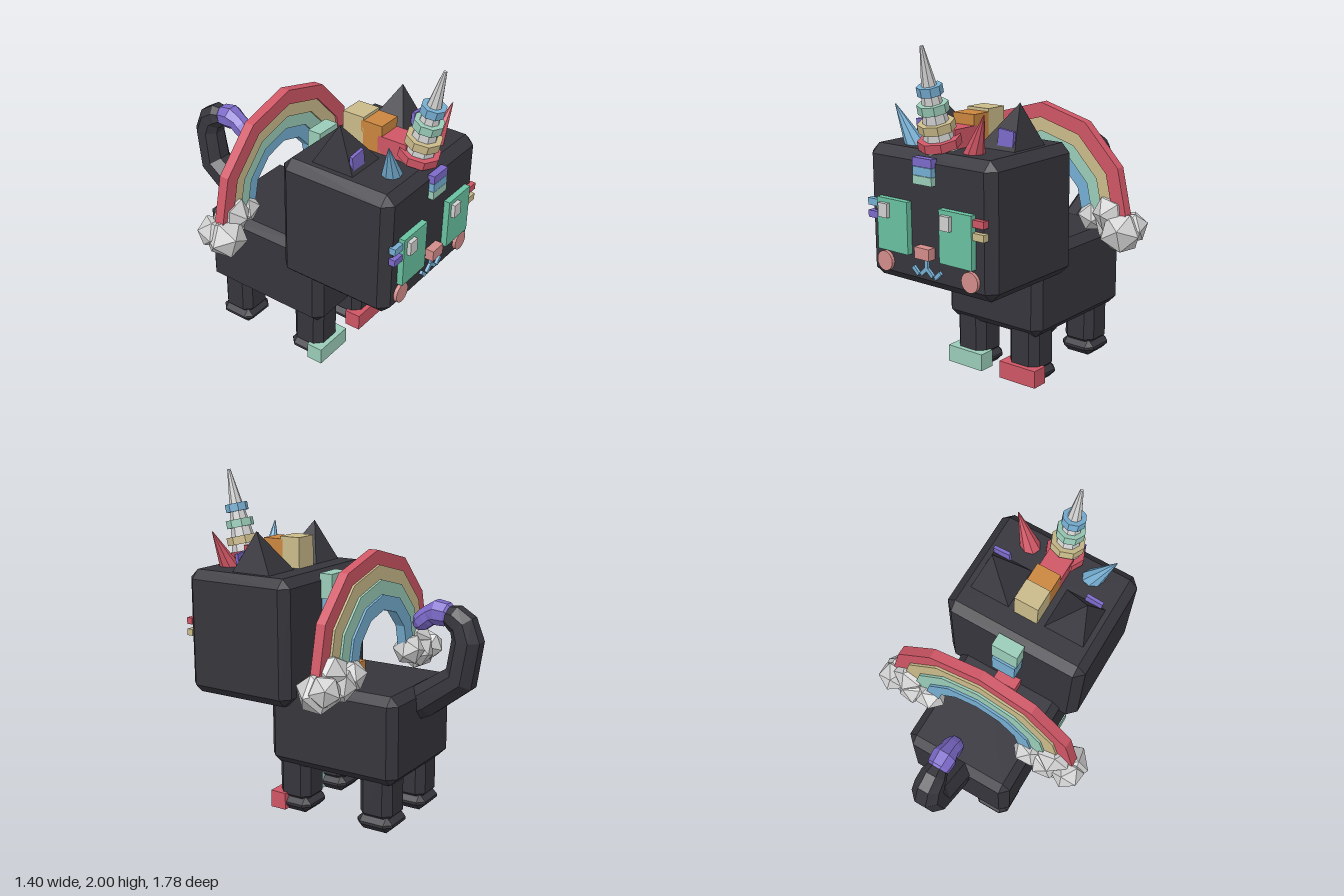
import * as THREE from 'three';
import { ConvexGeometry } from 'three/addons/geometries/ConvexGeometry.js';

const V = (x, y, z) => new THREE.Vector3(x, y, z);
const colours = {
  charcoal: 0x36353c, red: 0xcf5665, blue: 0x76aed2, mint: 0x9accb8, eyeGreen: 0x69c1a1,
  sand: 0xcaba8a, orange: 0xca853e, violet: 0x7d6aca, cloudWhite: 0xd0d0d0, pink: 0xd28c8a,
};

export function createModel() {
  const root = new THREE.Group();
  root.name = 'rainbowCat';
  const mats = {};
  for (const [name, hex] of Object.entries(colours)) {
    mats[name] = new THREE.MeshStandardMaterial({ color: hex });
    mats[name].name = name;
  }

  // Every part is faceted, so each face gets its own normal
  const add = (name, geo, colour, x = 0, y = 0, z = 0) => {
    const flat = geo.index ? geo.toNonIndexed() : geo;
    flat.computeVertexNormals();
    const mesh = new THREE.Mesh(flat, mats[colour]);
    mesh.name = name;
    mesh.position.set(x, y, z);
    root.add(mesh);
    return mesh;
  };

  // Boxes given by their limits on each axis
  const box = (name, colour, x0, x1, y0, y1, z0, z1) =>
    add(name, new THREE.BoxGeometry(x1 - x0, y1 - y0, z1 - z0), colour,
      (x0 + x1) / 2, (y0 + y1) / 2, (z0 + z1) / 2);

  const chamferBox = (name, x0, x1, y0, y1, z0, z1, c) => {
    const hx = (x1 - x0) / 2, hy = (y1 - y0) / 2, hz = (z1 - z0) / 2, pts = [];
    for (const i of [-1, 1]) for (const j of [-1, 1]) for (const k of [-1, 1]) {
      pts.push(V(i * hx, j * (hy - c), k * (hz - c)));
      pts.push(V(i * (hx - c), j * hy, k * (hz - c)));
      pts.push(V(i * (hx - c), j * (hy - c), k * hz));
    }
    return add(name, new ConvexGeometry(pts), 'charcoal', (x0 + x1) / 2, (y0 + y1) / 2, (z0 + z1) / 2);
  };

  // Cone or ring whose axis runs from a to b
  const spike = (name, colour, a, b, r0, r1, sides) => {
    const mid = a.clone().add(b).multiplyScalar(0.5);
    const mesh = add(name, new THREE.CylinderGeometry(r1, r0, a.distanceTo(b), sides), colour, mid.x, mid.y, mid.z);
    mesh.quaternion.setFromUnitVectors(V(0, 1, 0), b.clone().sub(a).normalize());
    return mesh;
  };

  // Eight-sided loft along a path in the yz plane; rings are [z, y, radius]
  const loft = (name, colour, rings) => {
    const n = 8, pos = [], idx = [];
    rings.forEach(([z, y, r], i) => {
      const p = rings[Math.max(i - 1, 0)], q = rings[Math.min(i + 1, rings.length - 1)];
      const t = V(0, q[1] - p[1], q[0] - p[0]).normalize();
      for (let j = 0; j < n; j++) {
        const a = (j + 0.5) / n * Math.PI * 2, s = Math.sin(a) * r;
        pos.push(Math.cos(a) * r, y + t.z * s, z - t.y * s);
        if (i < rings.length - 1) {
          const A = i * n + j, B = i * n + (j + 1) % n;
          idx.push(A, B, B + n, A, B + n, A + n);
        }
      }
    });
    const last = (rings.length - 1) * n;
    for (let j = 1; j < n - 1; j++) idx.push(0, j + 1, j, last, last + j, last + j + 1);
    const geo = new THREE.BufferGeometry();
    geo.setAttribute('position', new THREE.Float32BufferAttribute(pos, 3));
    geo.setIndex(idx);
    return add(name, geo, colour);
  };

  // Body, head and legs
  chamferBox('body', -0.35, 0.35, 0.305, 0.83, -0.54, 0.315, 0.05);
  chamferBox('head', -0.45, 0.45, 0.685, 1.44, 0.11, 0.83, 0.053);
  for (const s of [-1, 1]) for (const z of [0.18, -0.38]) {
    const x = s * 0.2;
    chamferBox('leg', x - 0.107, x + 0.107, 0.06, 0.42, z - 0.107, z + 0.107, 0.045);
    chamferBox('foot', x - 0.118, x + 0.118, 0, 0.1, z - 0.118, z + 0.118, 0.042);
  }
  box('rightShoe', 'mint', -0.33, -0.07, 0.01, 0.115, 0.215, 0.318);
  box('leftShoe', 'red', 0.07, 0.33, 0.01, 0.115, 0.215, 0.318);

  // Tail
  loft('tail', 'charcoal', [[-0.45, 0.69, 0.09], [-0.55, 0.75, 0.105], [-0.77, 0.91, 0.1],
    [-0.805, 1.13, 0.092], [-0.775, 1.215, 0.085], [-0.72, 1.25, 0.078], [-0.67, 1.26, 0.055]]);
  loft('tailTip', 'violet', [[-0.705, 1.255, 0.045], [-0.675, 1.262, 0.07], [-0.615, 1.268, 0.076],
    [-0.57, 1.25, 0.06], [-0.545, 1.23, 0.062], [-0.51, 1.2, 0.058], [-0.48, 1.175, 0.03]]);

  // Ears, inner ears and the coloured spikes before them
  for (const s of [-1, 1]) {
    const ear = [V(s * 0.3, 1.68, 0.41)];
    for (const x of [0.105, 0.37]) for (const z of [0.27, 0.55]) ear.push(V(s * x, 1.425, z));
    add('ear', new ConvexGeometry(ear), 'charcoal');
    const inner = box('innerEar', 'violet', -0.052, 0.052, -0.05, 0.05, -0.01, 0.01);
    inner.position.set(s * 0.295, 1.5, 0.52);
    inner.rotation.z = -s * 0.1;
    spike('earSpike', s < 0 ? 'blue' : 'red', V(s * 0.2, 1.41, 0.68), V(s * 0.315, 1.655, 0.725), 0.065, 0.003, 8);
  }

  // Horn with four rings
  const hornAt = (y) => V(0, y, 0.70 + (y - 1.4) * 0.235);
  spike('horn', 'cloudWhite', hornAt(1.4), hornAt(1.995), 0.1, 0.01, 8);
  [['red', 1.48, 0.118], ['sand', 1.57, 0.102], ['mint', 1.67, 0.085], ['blue', 1.765, 0.07]]
    .forEach(([c, y, r]) => spike('hornRing', c, hornAt(y - 0.024), hornAt(y + 0.024), r, r, 8));

  // Mane blocks over the head and down the back
  [['red', 1.42, 1.547, 0.5, 0.68], ['orange', 1.42, 1.608, 0.39, 0.525], ['sand', 1.42, 1.625, 0.27, 0.405],
    ['mint', 1.28, 1.43, 0.035, 0.12], ['blue', 1.13, 1.28, 0.022, 0.12],
    ['red', 0.8, 0.912, 0.035, 0.13], ['orange', 0.8, 0.9, -0.1, 0.035]]
    .forEach(([c, y0, y1, z0, z1]) => {
      const w = c === 'mint' ? 0.083 : 0.075;
      box('maneBlock', c, -w, w, y0, y1, z0, z1);
    });
  ['mint', 'blue', 'violet'].forEach((c, i) =>
    box('forelock', c, -0.067, 0.067, 1.27 + i * 0.049, 1.317 + i * 0.049, 0.82, 0.862));

  // Face
  for (const s of [-1, 1]) {
    const x = s * 0.2275;
    box('eye', 'eyeGreen', x - 0.1125, x + 0.1125, 0.865, 1.16, 0.82, 0.865);
    const h = s < 0 ? -0.278 : 0.173;
    box('eyeHighlight', 'cloudWhite', h - 0.033, h + 0.033, 1.055, 1.135, 0.85, 0.888);
    (s < 0 ? ['blue', 'violet'] : ['red', 'sand']).forEach((c, i) =>
      box('eyelash', c, s * 0.38 - 0.037, s * 0.38 + 0.037, 1.1 - i * 0.07, 1.14 - i * 0.07, 0.82, 0.858));
    const cheek = add('cheek', new THREE.CylinderGeometry(0.057, 0.057, 0.03, 20), 'pink', s * 0.31, 0.793, 0.835);
    cheek.rotation.x = Math.PI / 2;
    for (const [x0, y0, x1, y1] of [[0, 0.805, 0.043, 0.767], [0.06, 0.762, 0.1, 0.8]]) {
      const line = add('mouthLine', new THREE.BoxGeometry(Math.hypot(x1 - x0, y1 - y0), 0.022, 0.025), 'blue',
        s * (x0 + x1) / 2, (y0 + y1) / 2, 0.834);
      line.rotation.z = s * Math.atan2(y1 - y0, x1 - x0);
    }
  }
  box('mouthStem', 'blue', -0.011, 0.011, 0.79, 0.87, 0.82, 0.846);
  box('nose', 'pink', -0.052, 0.052, 0.865, 0.93, 0.82, 0.88);

  // Rainbow: four nested arches of six straight pieces
  ['red', 'sand', 'mint', 'blue'].forEach((c, i) => {
    const outer = 0.625 - i * 0.085, inner = outer - 0.09, pts = [];
    const at = (r, k) => new THREE.Vector2(r * Math.sin(k * 0.54), r * Math.cos(k * 0.54));
    for (let k = -3; k <= 3; k++) pts.push(at(outer, k));
    for (let k = 3; k >= -3; k--) pts.push(at(inner, k));
    const geo = new THREE.ExtrudeGeometry(new THREE.Shape(pts), { depth: 0.06, bevelEnabled: false });
    add('rainbowArch', geo, c, 0, 0.96, -0.226 - i * 0.014);
  });

  // Clouds at both rainbow ends
  for (const s of [-1, 1]) {
    [[0.57, 0.875, -0.19, 0.13], [0.6, 0.9, -0.25, 0.1], [0.49, 0.975, -0.21, 0.115],
      [0.46, 0.9, -0.25, 0.105], [0.34, 0.93, -0.25, 0.1]].forEach(([x, y, z, r], i) => {
      const puff = add('cloudPuff', new THREE.IcosahedronGeometry(r, 0), 'cloudWhite', s * x, y, z);
      puff.rotation.set(i * 0.9 + 0.3, s * (i * 1.3 + 0.4), s * i * 0.7);
    });
  }
  return root;
}
